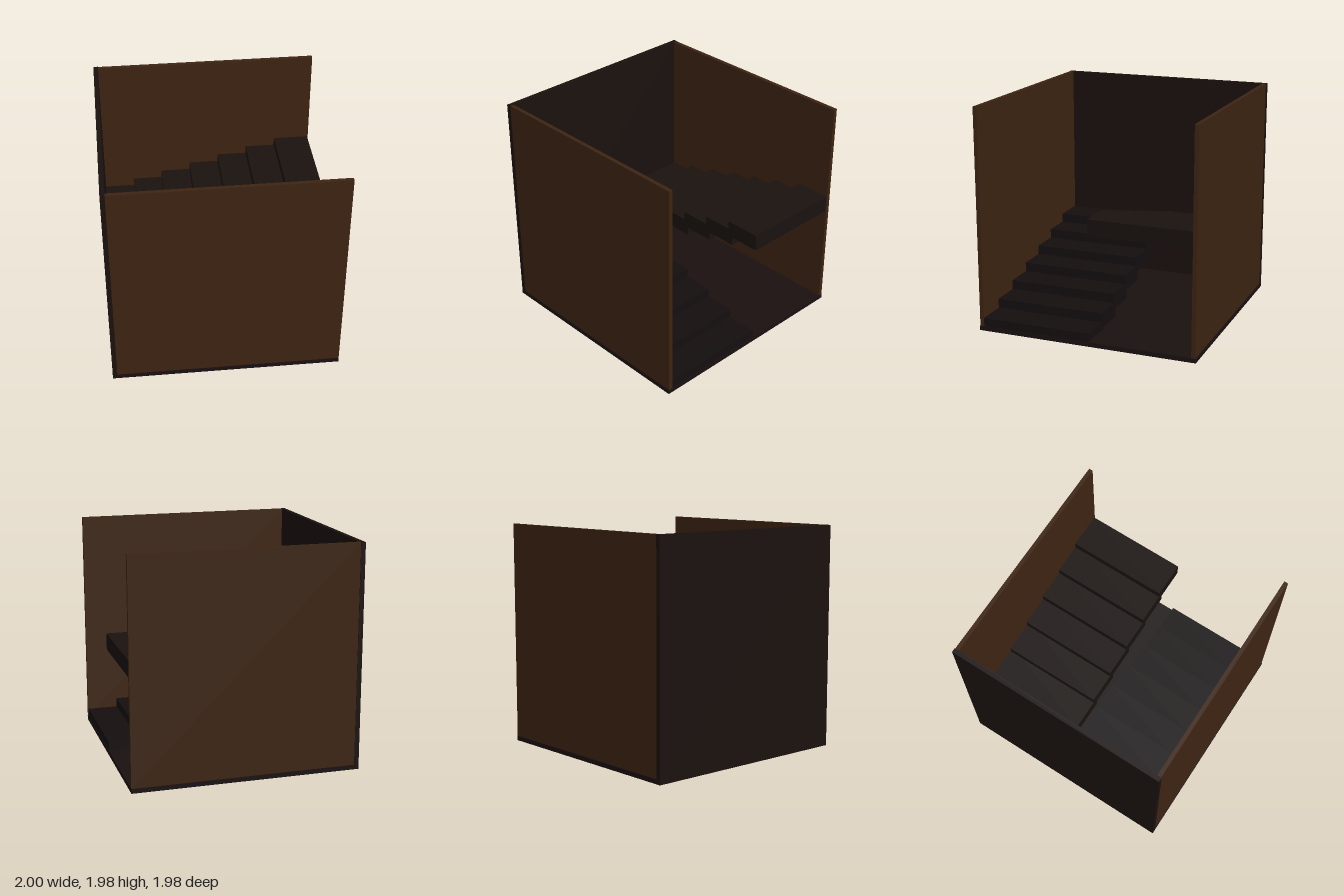
import * as THREE from 'three';

const mat = (color) => new THREE.MeshStandardMaterial({ color });

// Box given by its lower and upper limits on each axis
function box(name, [x0, x1], [y0, y1], [z0, z1], material) {
  const mesh = new THREE.Mesh(new THREE.BoxGeometry(x1 - x0, y1 - y0, z1 - z0), material);
  mesh.position.set((x0 + x1) / 2, (y0 + y1) / 2, (z0 + z1) / 2);
  mesh.name = name;
  return mesh;
}

export function createModel() {
  const model = new THREE.Group();
  model.name = 'stairwell';
  const brown = mat(0x3d2412);
  const dark = mat(0x1a110e);
  const floorMat = mat(0x1a1010);
  const lowerMat = mat(0x140e0f);
  const upperMat = mat(0x19120f);

  // Floor and the three walls; the +x side and the top stay open
  model.add(box('floor', [-0.96, 1], [0, 0.04], [-0.99, 0.99], floorMat));
  model.add(box('sideWall', [-1, -0.96], [0, 1.98], [-0.99, 0.99], dark));
  model.add(box('frontWall', [-0.96, 1], [0.04, 1.98], [0.95, 0.985], brown));
  model.add(box('backWall', [-0.96, 1], [0.04, 1.98], [-0.985, -0.95], brown));

  // Two flights of overlapping slab treads, climbing in opposite directions
  const lower = new THREE.Group();
  lower.name = 'lowerFlight';
  const upper = new THREE.Group();
  upper.name = 'upperFlight';
  const thickness = 0.145, depth = 0.32;
  for (let i = 0; i < 7; i++) {
    const edge = 0.995 - i * 0.275;
    const top = 0.115 + i * 0.0833;
    lower.add(box('lowerTread', [Math.max(edge - depth, -0.97), edge],
      [Math.max(top - thickness, 0.03), top], [-0.04, 0.955], lowerMat));

    const start = -0.963 + i * 0.2725;
    const height = 0.665 + i * 0.075;
    upper.add(box('upperTread', [start, Math.min(start + depth, 0.995)],
      [height - thickness, height], [-0.955, -0.035], upperMat));
  }
  model.add(lower, upper);
  return model;
}
